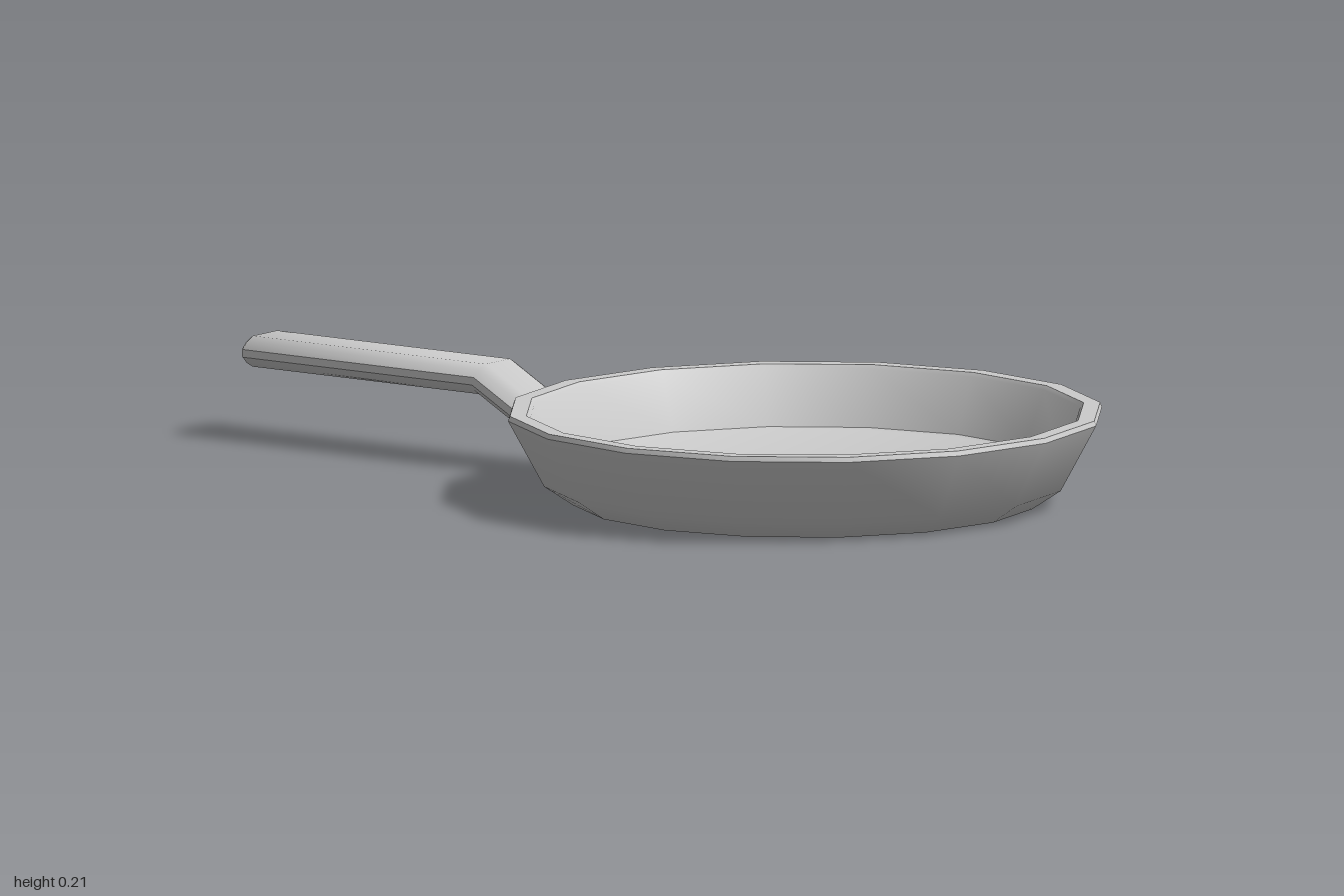
import * as THREE from 'three';
import { toCreasedNormals } from 'three/addons/utils/BufferGeometryUtils.js';

const material = new THREE.MeshStandardMaterial({ color: 0xcccccc });

function addPart(group, name, geometry, crease) {
  const mesh = new THREE.Mesh(toCreasedNormals(geometry, crease), material);
  mesh.name = name;
  group.add(mesh);
  return mesh;
}

// Flattened oval of half-size 1, counter-clockwise seen from +z
const quarter = [[1, 0.25], [0.82, 0.68], [0.55, 1]];
const oval = [
  ...quarter,
  ...quarter.map(([x, y]) => [-x, y]).reverse(),
  ...quarter.map(([x, y]) => [-x, -y]),
  ...quarter.map(([x, y]) => [x, -y]).reverse(),
];

// Skin a row of ovals running towards -z; slant leans a section along z with height
function loft(sections) {
  const n = oval.length, positions = [], indices = [];
  for (const { z, y, w, h, slant = 0 } of sections)
    for (const [px, py] of oval) positions.push(px * w, y + py * h, z + slant * py * h);
  for (let s = 0; s < sections.length - 1; s++)
    for (let i = 0; i < n; i++) {
      const a = s * n + i, b = s * n + (i + 1) % n;
      indices.push(a, a + n, b, b, a + n, b + n);
    }
  const last = (sections.length - 1) * n;
  for (let i = 1; i < n - 1; i++)
    indices.push(0, i, i + 1, last, last + i + 1, last + i);
  const geometry = new THREE.BufferGeometry();
  geometry.setAttribute('position', new THREE.Float32BufferAttribute(positions, 3));
  geometry.setIndex(indices);
  return geometry;
}

export function createModel() {
  const group = new THREE.Group();
  group.name = 'fryingPan';

  // Sixteen-sided pan: base, flared wall, bevelled rim, inner wall and floor
  const profile = [
    [0, 0], [0.48, 0], [0.54, 0.04], [0.615, 0.178], [0.611, 0.188],
    [0.577, 0.188], [0.57, 0.18], [0.525, 0.066], [0.515, 0.062], [0, 0.062],
  ].map(([r, y]) => new THREE.Vector2(r, y));
  addPart(group, 'pan', new THREE.LatheGeometry(profile, 16), 0.6).position.z = 0.385;

  // Collar set into the back wall
  addPart(group, 'handleCollar', loft([
    { z: -0.165, y: 0.11, w: 0.1, h: 0.045, slant: -0.45 },
    { z: -0.245, y: 0.11, w: 0.1, h: 0.045 },
    { z: -0.25, y: 0.11, w: 0.096, h: 0.041 },
  ]), 0.75);

  // Handle with a raised, level grip
  addPart(group, 'handle', loft([
    { z: -0.22, y: 0.111, w: 0.076, h: 0.032 },
    { z: -0.287, y: 0.111, w: 0.076, h: 0.032, slant: 0.25 },
    { z: -0.407, y: 0.178, w: 0.076, h: 0.032, slant: 0.25 },
    { z: -0.994, y: 0.178, w: 0.076, h: 0.032 },
    { z: -1, y: 0.178, w: 0.071, h: 0.028 },
  ]), 0.75);

  return group;
}
